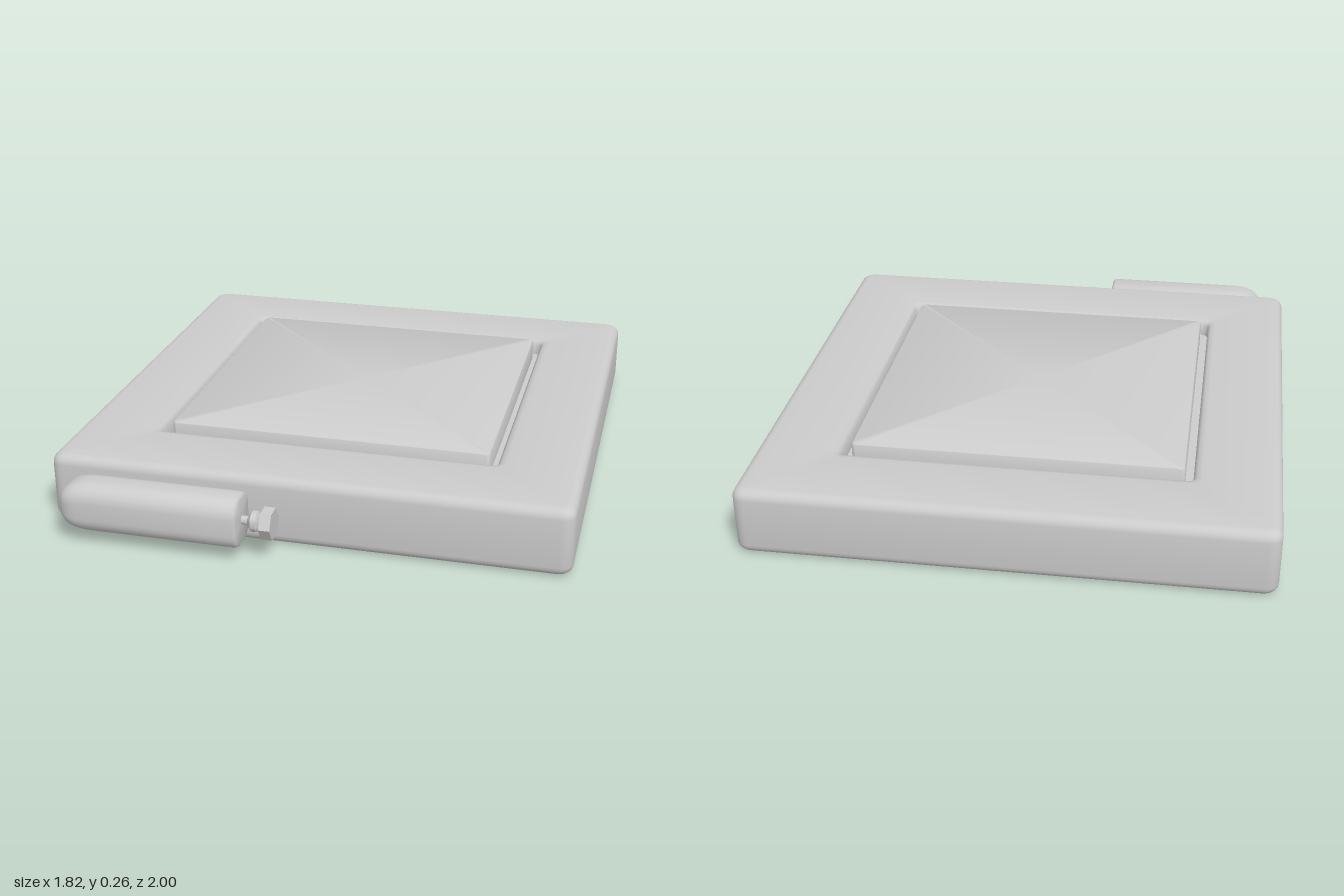
import * as THREE from 'three';
import { toCreasedNormals } from 'three/addons/utils/BufferGeometryUtils.js';

const material = new THREE.MeshStandardMaterial({ color: 0xcccccc });
const ARC = 6; // segments per rounded corner

// Skin over stacked rounded rectangles: each ring is [halfX, halfZ, cornerRadius, y]
function loft(rings, crease = 0.8) {
  const pos = [], index = [], n = 4 * (ARC + 1);
  for (const [hx, hz, r, y] of rings) {
    for (let c = 0; c < 4; c++) {
      const sx = c === 0 || c === 3 ? 1 : -1, sz = c < 2 ? -1 : 1;
      for (let i = 0; i <= ARC; i++) {
        const a = (c + i / ARC) * Math.PI / 2;
        pos.push(sx * (hx - r) + r * Math.cos(a), y, sz * (hz - r) - r * Math.sin(a));
      }
    }
  }
  const last = (rings.length - 1) * n;
  for (let k = 0; k < last; k += n) {
    for (let i = 0; i < n; i++) {
      const a = k + i, b = k + (i + 1) % n;
      index.push(a, b, b + n, a, b + n, a + n);
    }
  }
  // flat end caps
  const mid = pos.length / 3;
  pos.push(0, rings[0][3], 0, 0, rings[rings.length - 1][3], 0);
  for (let i = 0; i < n; i++) {
    const j = (i + 1) % n;
    index.push(mid, j, i, mid + 1, last + i, last + j);
  }
  const g = new THREE.BufferGeometry();
  g.setAttribute('position', new THREE.Float32BufferAttribute(pos, 3));
  g.setIndex(index);
  return toCreasedNormals(g, crease);
}

// Rings of a quarter-round edge; start and end are angles up the outer side
function roundEdge(hx, hz, corner, y, r, start, end) {
  const rings = [];
  for (let i = 0; i <= 5; i++) {
    const a = start + (end - start) * i / 5, inset = r * (1 - Math.cos(a));
    rings.push([hx - inset, hz - inset, corner - inset * 0.5, y + r * Math.sin(a)]);
  }
  return rings;
}

export function createModel() {
  const model = new THREE.Group();
  const add = (name, geometry, x, y, z, parent = model) => {
    const mesh = new THREE.Mesh(geometry, material);
    mesh.name = name;
    mesh.position.set(x, y, z);
    parent.add(mesh);
    return mesh;
  };
  const Q = Math.PI / 2;

  // Square base with softened edges and a shallow recess in the top
  add('base', loft([
    ...roundEdge(0.912, 0.912, 0.045, 0.035, 0.035, -Q, 0),
    ...roundEdge(0.912, 0.912, 0.045, 0.21, 0.035, 0, Q),
    [0.64, 0.64, 0.04, 0.245],
    [0.622, 0.622, 0.03, 0.241],
    [0.612, 0.612, 0.025, 0.23],
    [0.61, 0.61, 0.025, 0.185],
  ]), 0, 0, -0.088);

  // Raised panel sitting inside the recess
  add('centrePanel', loft([
    [0.582, 0.582, 0.02, 0.18],
    ...roundEdge(0.582, 0.582, 0.02, 0.253, 0.01, 0, Q),
  ]), 0, 0, -0.088);

  // Handle lying along x in front of the base
  const handle = new THREE.Group();
  handle.name = 'handle';
  handle.position.set(0, 0.133, 0.919);
  model.add(handle);

  // Grip: domed left end, lightly bevelled right end
  const grip = [];
  for (let i = 0; i <= 8; i++) {
    const a = Q * i / 8, s = Math.sin(a), x = -0.7 - 0.115 * Math.cos(a);
    const t = Math.min(1, (x + 0.815) / 0.065);
    const side = Math.sqrt(1 - (1 - t) ** 2);
    grip.push([0.035 + 0.055 * s, 0.035 + 0.043 * side, 0.025 + 0.035 * s, x]);
  }
  grip.push([0.09, 0.078, 0.06, -0.192], [0.086, 0.074, 0.056, -0.183], [0.08, 0.068, 0.05, -0.18]);
  add('grip', loft(grip).rotateZ(-Q), 0, 0, 0, handle);

  // Turned stem with a collar
  const profile = [[0, -0.2], [0.015, -0.2], [0.015, -0.158], [0.026, -0.152], [0.036, -0.143],
    [0.036, -0.126], [0.026, -0.118], [0.018, -0.116], [0.018, -0.105]];
  const stem = new THREE.LatheGeometry(profile.map(([r, x]) => new THREE.Vector2(r, x)), 24);
  add('stem', toCreasedNormals(stem.rotateZ(-Q), 0.5), 0, 0, 0, handle);

  // Hexagonal end nut
  const nut = toCreasedNormals(new THREE.CylinderGeometry(0.055, 0.055, 0.039, 6).rotateZ(-Q), 0.5);
  add('hexNut', nut, -0.0885, -0.003, 0, handle);

  return model;
}
